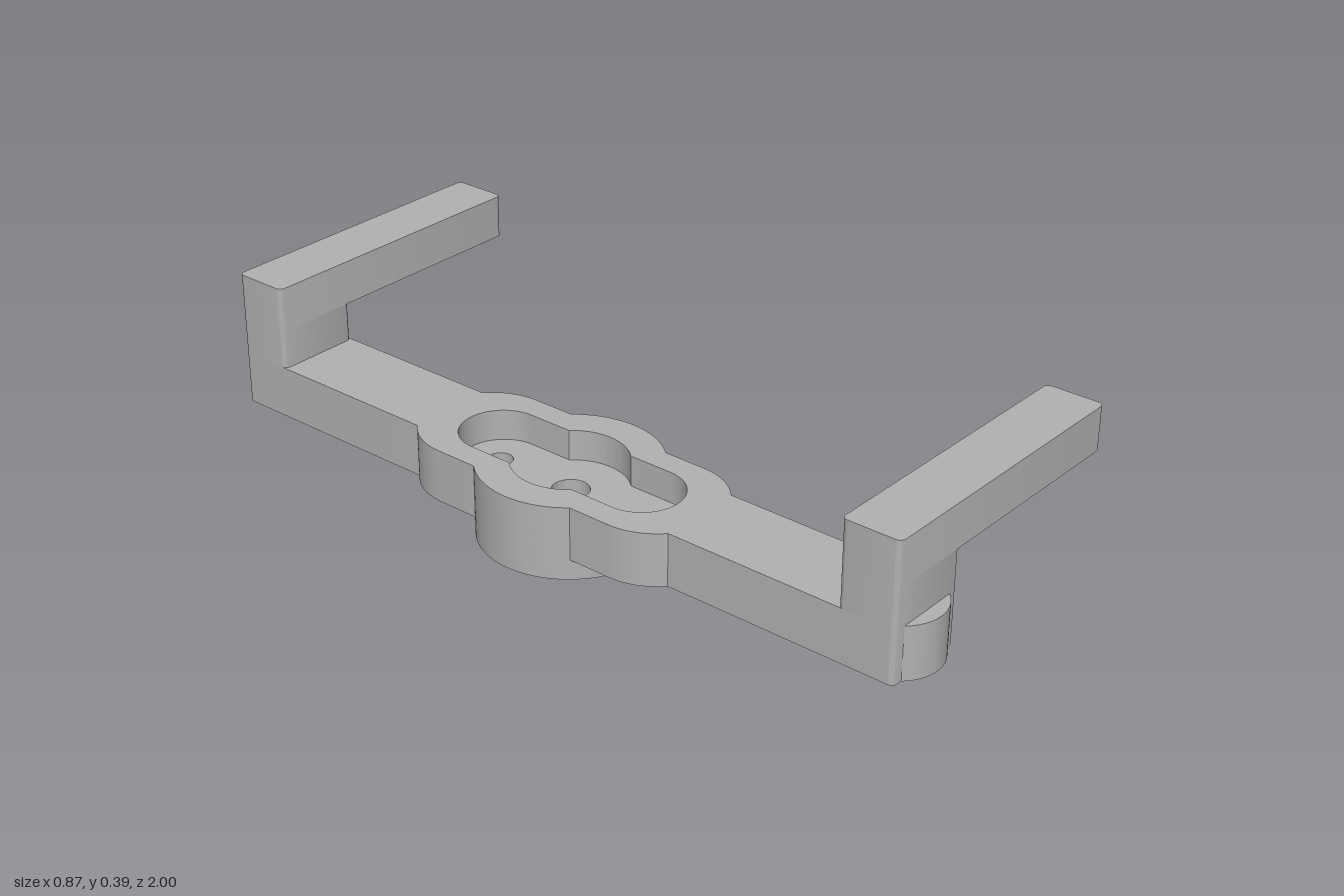
import * as THREE from 'three';
import { toCreasedNormals } from 'three/addons/utils/BufferGeometryUtils.js';

const CX = -0.2175; // centre line of the bar

// Points along an arc centred on the bar's axis
function arc(cy, r, a0, a1, n = 14) {
  return Array.from({ length: n + 1 }, (_, i) => {
    const a = a0 + (a1 - a0) * i / n;
    return new THREE.Vector2(r * Math.cos(a), cy + r * Math.sin(a));
  });
}

// Mirror one quarter of an outline into a closed loop
function mirrorQuarter(q) {
  const flip = (sx, sy) => q.map(p => new THREE.Vector2(p.x * sx, p.y * sy));
  const all = [...q, ...flip(-1, 1).reverse(), ...flip(-1, -1), ...flip(1, -1).reverse()];
  return all.filter((p, i) => p.distanceTo(all[(i + 1) % all.length]) > 1e-4);
}

function circle(y, r) {
  return new THREE.Path().absarc(0, y, r, 0, Math.PI * 2, true);
}

export function createModel() {
  const group = new THREE.Group();
  const grey = new THREE.MeshStandardMaterial({ color: 0xb2b2b2 });
  grey.name = 'grey plastic';

  // Extrude a plan shape upwards between two heights
  function slab(name, shape, y0, y1, x = CX, z = 0) {
    let geo = new THREE.ExtrudeGeometry(shape, { depth: y1 - y0, bevelEnabled: false, curveSegments: 28 });
    geo.rotateX(-Math.PI / 2);
    geo = toCreasedNormals(geo, 0.5);
    const mesh = new THREE.Mesh(geo, grey);
    mesh.name = name;
    mesh.position.set(x, y0, z);
    group.add(mesh);
  }

  // Bar with round ends, two side lobes and a round hub
  const outline = mirrorQuarter([
    ...arc(0, 0.217, 0, Math.acos(0.163 / 0.217)),
    ...arc(0.253, 0.163, 0, Math.acos(0.108 / 0.163)),
    ...arc(0.892, 0.108, 0, Math.PI / 2),
  ]);
  const pocket = mirrorQuarter([
    ...arc(0, 0.137, 0, Math.acos(0.1 / 0.137)),
    ...arc(0.21, 0.1, 0, Math.PI / 2),
  ]);

  const floor = new THREE.Shape(outline);
  floor.holes.push(circle(0, 0.045), circle(0.217, 0.03), circle(-0.217, 0.03));
  slab('barFloor', floor, 0.05, 0.105);

  const rim = new THREE.Shape(outline);
  rim.holes.push(new THREE.Path(pocket));
  slab('barRim', rim, 0.105, 0.182);

  // Base disc, notched where the screw holes pass
  const disc = new THREE.Shape(mirrorQuarter([
    ...arc(0, 0.217, 0, Math.PI / 2 - 0.1385, 24),
    ...arc(0.217, 0.03, -0.069, -Math.PI / 2, 10),
  ]));
  disc.holes.push(circle(0, 0.045));
  slab('baseDisc', disc, 0, 0.05);

  // Rounded rectangle for the posts and arms
  function roundedRect(x0, x1, d, r) {
    const s = new THREE.Shape();
    s.absarc(x1 - r, d / 2 - r, r, 0, Math.PI / 2);
    s.absarc(x0 + r, d / 2 - r, r, Math.PI / 2, Math.PI);
    s.absarc(x0 + r, -d / 2 + r, r, Math.PI, Math.PI * 1.5);
    s.absarc(x1 - r, -d / 2 + r, r, Math.PI * 1.5, Math.PI * 2);
    return s;
  }
  for (const [side, z] of [['front', 0.892], ['back', -0.892]]) {
    slab(side + 'Post', roundedRect(-0.3255, -0.1095, 0.145, 0.015), 0.05, 0.28, 0, z);
    slab(side + 'Arm', roundedRect(-0.3255, 0.4345, 0.145, 0.015), 0.28, 0.39, 0, z);
  }
  return group;
}
